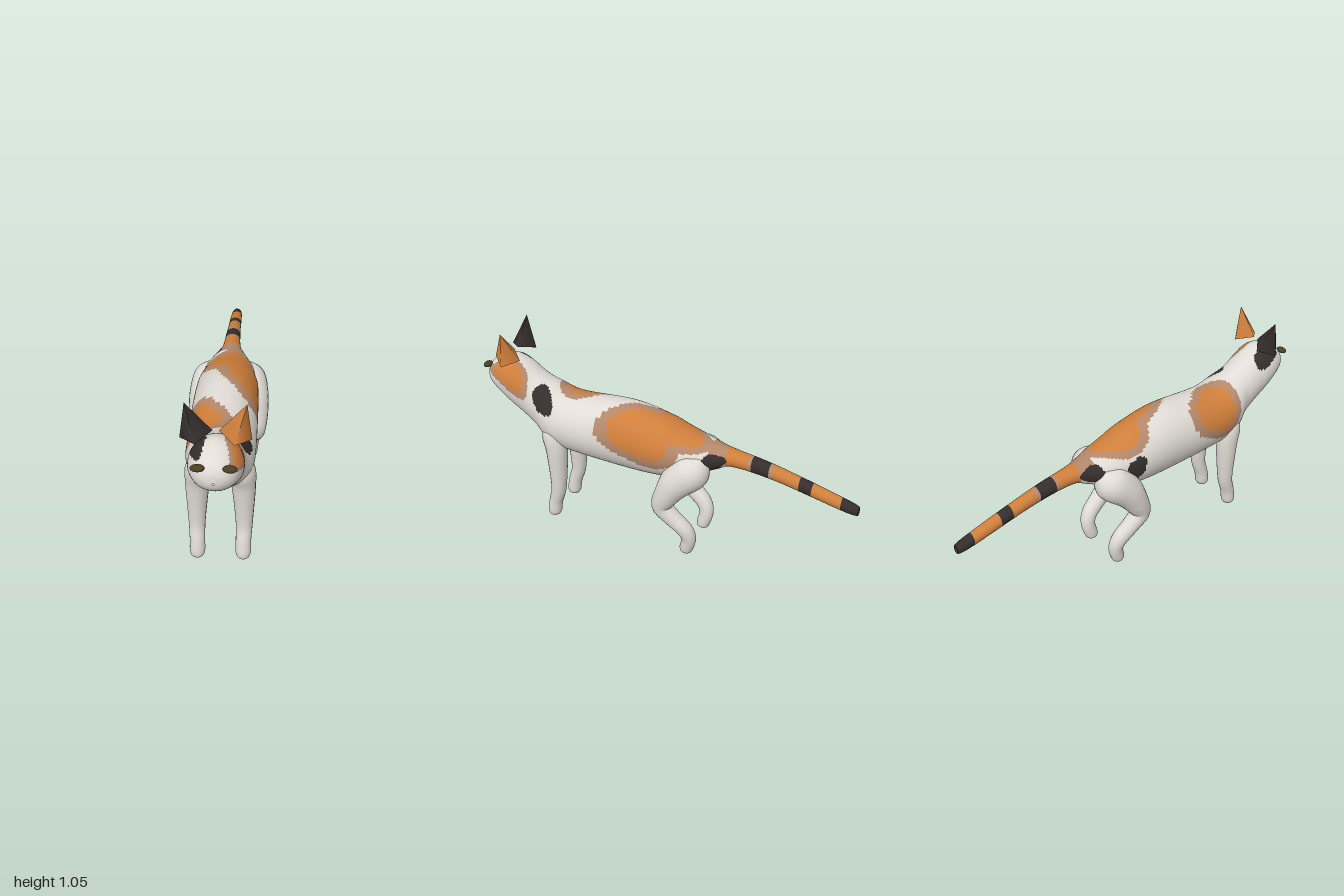
import * as THREE from 'three';

const paint = (name, color) => Object.assign(new THREE.MeshStandardMaterial({ color }), { name });
const WHITE = 0, ORANGE = 1, TAN = 2, BLACK = 3;

// Body stations from nose to tail tip: z, top, bottom, half width
const STATIONS = [
  [1, .775, .765, .005], [.99, .815, .735, .045], [.96, .85, .7, .085], [.9, .878, .655, .112],
  [.84, .885, .605, .12], [.78, .86, .56, .118], [.7, .805, .5, .122], [.62, .765, .435, .152],
  [.5, .735, .41, .16], [.2, .752, .39, .16], [0, .715, .395, .155], [-.1, .68, .42, .14],
  [-.2, .648, .455, .12], [-.3, .628, .505, .075], [-.38, .618, .53, .048], [-.6, .58, .505, .037],
  [-.97, .48, .422, .028], [-1, .455, .445, .003],
];

// Coat spots: z, angle from the spine (+ to the left), half length, half angle
const BLACK_SPOTS = [
  [.64, .85, .06, .48], [-.29, 1.6, .055, .8], [-.28, -1.35, .06, .7], [-.06, -1.5, .05, .4], [.85, -.75, .08, .4],
];
const ORANGE_SPOTS = [
  [.09, .9, .22, 1.1], [-.08, .15, .18, 1.1], [.48, -.85, .16, 1.1], [.84, 1, .12, .65],
];

// Distance from a spot's centre, 1 at its wavy edge
function spotDistance([z0, phi0, rz, rphi], z, phi) {
  const a = (z - z0) / rz, b = (phi - phi0) / rphi;
  return Math.hypot(a, b) / (1 + .1 * Math.sin(3 * Math.atan2(b, a) + 9 * z0));
}

function coat(z, phi) {
  const nearest = (spots) => Math.min(...spots.map((s) => spotDistance(s, z, phi)));
  if (nearest(BLACK_SPOTS) < 1) return BLACK;
  const d = nearest(ORANGE_SPOTS);
  if (d < 1) return d < .73 ? ORANGE : TAN;
  // Tail rings
  if (z < -.92 || Math.abs(z + .743) < .042 || Math.abs(z + .515) < .04) return BLACK;
  if (Math.abs(z + .515) < .065) return TAN;
  if (z < -.34) return ORANGE;
  return z < -.26 && Math.abs(phi) < 1.6 ? TAN : WHITE;
}

// Closed skin over rings of points, with one group per colour
function skin(rows, cols, point, colourOf) {
  const pos = [], sets = [[], [], [], []];
  for (let i = 0; i <= rows; i++)
    for (let j = 0; j < cols; j++) pos.push(...point(i / rows, j / cols));
  for (let i = 0; i < rows; i++) {
    for (let j = 0; j < cols; j++) {
      const a = i * cols + j, b = i * cols + (j + 1) % cols, c = a + cols, d = b + cols;
      sets[colourOf((i + .5) / rows, (j + .5) / cols)].push(a, b, c, b, d, c);
    }
  }
  const geo = new THREE.BufferGeometry();
  geo.setAttribute('position', new THREE.Float32BufferAttribute(pos, 3));
  geo.setIndex(sets.flat());
  let start = 0;
  sets.forEach((s, m) => {
    if (s.length) geo.addGroup(start, s.length, m);
    start += s.length;
  });
  geo.computeVertexNormals();
  return geo;
}

const spline = (pts) => new THREE.CatmullRomCurve3(pts.map((p) => new THREE.Vector3(...p)), false, 'catmullrom', .5);

function bodyGeometry() {
  const heights = spline(STATIONS.map(([z, t, b]) => [z, t, b]));
  const widths = spline(STATIONS.map(([z, , , w]) => [z, w, 0]));
  const angle = (v) => (v * 2 - 1) * Math.PI;
  return skin(230, 80, (u, v) => {
    const h = heights.getPoint(u), phi = angle(v);
    const w = Math.max(widths.getPoint(u).y, .001);
    return [w * Math.sin(phi), (h.y + h.z) / 2 + (h.y - h.z) / 2 * Math.cos(phi), h.x];
  }, (u, v) => coat(heights.getPoint(u).x, angle(v)));
}

// Leg swept from hip to paw: points are x, y, z, radius
function legGeometry(pts, side) {
  const path = spline(pts.map(([x, y, z]) => [x * side, y, z]));
  const radii = spline(pts.map(([, , , r]) => [r, 0, 0]));
  const xAxis = new THREE.Vector3(1, 0, 0);
  return skin(48, 20, (u, v) => {
    const t = path.getTangent(u), across = xAxis.clone().addScaledVector(t, -t.x).normalize();
    const out = t.clone().cross(across), a = v * Math.PI * 2;
    const r = Math.max(radii.getPoint(u).x, .001);
    return path.getPoint(u).addScaledVector(across, r * Math.cos(a)).addScaledVector(out, r * Math.sin(a)).toArray();
  }, () => WHITE);
}

const FRONT_LEG = [
  [.08, .6, .6, .04], [.095, .52, .59, .065], [.107, .42, .575, .057], [.112, .2, .577, .041],
  [.11, .1, .602, .037], [.11, .035, .613, .037], [.11, .01, .613, .027], [.11, .001, .613, .002],
];
const HIND_LEG = [
  [.06, .56, -.23, .05], [.09, .51, -.19, .095], [.12, .44, -.12, .088], [.14, .365, -.075, .068],
  [.144, .285, -.045, .053], [.14, .225, -.095, .046], [.132, .16, -.165, .042], [.123, .1, -.187, .038],
  [.117, .035, -.173, .036], [.116, .011, -.168, .027], [.116, .001, -.166, .002],
];

export function createModel() {
  const coatColours = [
    paint('white fur', 0xe0dbd4), paint('orange fur', 0xcf7f3b),
    paint('tan fur', 0xb3886b), paint('black fur', 0x352d2e),
  ];
  const eyeColour = paint('olive eye', 0x4a4020);
  const cat = new THREE.Group();
  cat.name = 'cat';
  const add = (name, geo, mat) => {
    const mesh = new THREE.Mesh(geo, mat);
    mesh.name = name;
    cat.add(mesh);
    return mesh;
  };

  add('bodyAndTail', bodyGeometry(), coatColours);

  for (const [label, s] of [['left', 1], ['right', -1]]) {
    add(label + 'FrontLeg', legGeometry(FRONT_LEG, s), coatColours);
    add(label + 'HindLeg', legGeometry(HIND_LEG, s), coatColours);

    // Four-sided ears hovering over the head
    const ear = add(label + 'Ear', new THREE.ConeGeometry(.071, .16, 4), coatColours[s > 0 ? ORANGE : BLACK]);
    ear.position.set(s * .104, .978, .842);
    ear.rotation.z = -s * .29;

    const eye = add(label + 'Eye', new THREE.SphereGeometry(1, 20, 12), eyeColour);
    eye.scale.set(.03, .014, .02);
    eye.position.set(s * .066, .832, .978);
  }
  return cat;
}
